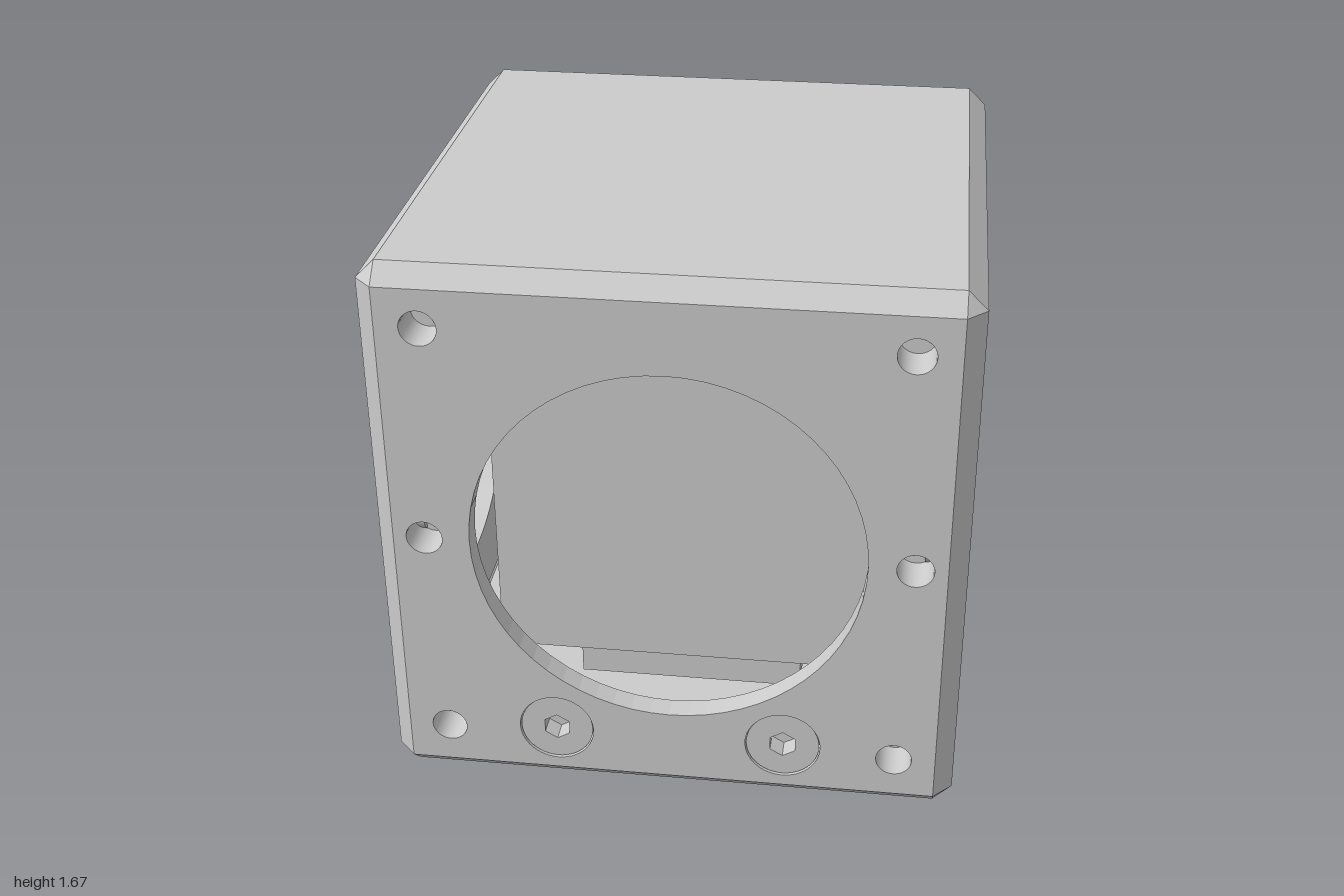
import * as THREE from 'three';
import { mergeGeometries } from 'three/addons/utils/BufferGeometryUtils.js';

const grey = new THREE.MeshStandardMaterial({ color: 0xcccccc, side: THREE.DoubleSide });
const H = 0.835, F = 0.78, C = H - F, WALL = 0.07; // half size, flat half size, chamfer, wall
const CZ = 0.165, AXIS_Y = 0.84;

function add(parent, name, geometry, x = 0, y = 0, z = 0) {
  const m = new THREE.Mesh(geometry, grey);
  m.name = name;
  m.position.set(x, y, z);
  parent.add(m);
  return m;
}

function circle(x, y, r, Type = THREE.Path) {
  return new Type().absarc(x, y, r, 0, Math.PI * 2, true);
}

function square(s) {
  return new THREE.Shape([[-s, -s], [s, -s], [s, s], [-s, s]].map(p => new THREE.Vector2(...p)));
}

function lathe(points, segments = 64) {
  return new THREE.LatheGeometry(points.map(p => new THREE.Vector2(...p)), segments);
}

// Sharp-edged lathe: each profile span gets its own normals
function creasedLathe(points, segments = 72) {
  return mergeGeometries(points.slice(1).map((p, i) => lathe([points[i], p], segments)));
}

// Blind hole, mouth at z = 0 and going into -z
function pocket(r, depth) {
  return creasedLathe([[0, -depth], [r, -depth], [r, 0]], 24).rotateX(Math.PI / 2);
}

// Disc with a hexagonal socket, top face at z = 0
function socketHead(r, hexR, depth) {
  const s = circle(0, 0, r, THREE.Shape);
  const hex = [];
  for (let i = 0; i < 6; i++) {
    const a = i * Math.PI / 3 + Math.PI / 6;
    hex.push(new THREE.Vector2(hexR * Math.cos(a), hexR * Math.sin(a)));
  }
  s.holes.push(new THREE.Path(hex));
  const ring = new THREE.ExtrudeGeometry(s, { depth, bevelEnabled: false, curveSegments: 24 }).translate(0, 0, -depth);
  const floor = new THREE.CircleGeometry(r, 32).translate(0, 0, -depth).toNonIndexed();
  return mergeGeometries([ring, floor]);
}

// One wall facing +z, with port, rod holes and optional clamp screws
function wall(screws) {
  const g = new THREE.Group();
  const s = new THREE.Shape([[-F, C], [F, C], [F, 2 * H - C], [-F, 2 * H - C]].map(p => new THREE.Vector2(...p)));
  s.holes.push(circle(0, AXIS_Y, 0.56));
  for (const side of [-1, 1]) {
    for (const [x, y] of [[0.66, 0.18], [0.69, AXIS_Y], [0.66, 1.5]]) {
      s.holes.push(circle(side * x, y, 0.052));
      add(g, 'rodHole', pocket(0.052, 0.12), side * x, y, H);
    }
    if (screws) {
      s.holes.push(circle(side * 0.335, 0.2, 0.11));
      add(g, 'clampScrew', socketHead(0.107, 0.042, 0.06), side * 0.335, 0.2, H - 0.006);
    }
  }
  const geo = new THREE.ExtrudeGeometry(s, { depth: WALL, bevelEnabled: false, curveSegments: 32 });
  add(g, 'wallPanel', geo, 0, 0, H - WALL);
  // chamfered vertical edge
  const post = new THREE.Shape([[F, -H], [F, -F], [H, -F]].map(p => new THREE.Vector2(...p)));
  add(g, 'edgePost', new THREE.ExtrudeGeometry(post, { depth: 2 * (H - C), bevelEnabled: false })
    .rotateX(-Math.PI / 2), 0, C, 0);
  return g;
}

// Chamfered cap: skirt between two loops plus a flat plate, facing +y
function cap(holeR) {
  const low = [[H, F], [F, H], [-F, H], [-H, F], [-H, -F], [-F, -H], [F, -H], [H, -F]];
  const pos = [];
  for (let i = 0; i < 8; i++) {
    const a = low[i], b = low[(i + 1) % 8];
    const up = p => [Math.sign(p[0]) * F, C, Math.sign(p[1]) * F];
    const dn = p => [p[0], 0, p[1]];
    pos.push(...dn(a), ...up(a), ...dn(b), ...dn(b), ...up(a), ...up(b));
  }
  const skirt = new THREE.BufferGeometry();
  skirt.setAttribute('position', new THREE.Float32BufferAttribute(pos, 3));
  skirt.computeVertexNormals();
  const s = square(F);
  if (holeR) s.holes.push(circle(0, 0, holeR));
  const g = new THREE.Group();
  add(g, 'capChamfer', skirt);
  add(g, 'capPlate', new THREE.ShapeGeometry(s, 24).rotateX(-Math.PI / 2), 0, C, 0);
  if (holeR) add(g, 'mountingHole', pocket(holeR, 0.15).rotateX(-Math.PI / 2), 0, C, 0);
  return g;
}

// Graduation marks around the z axis; from = z of the front end, len goes to -z
function marks(count, radius, from, lengthOf) {
  const list = [];
  for (let i = 0; i < count; i++) {
    const len = lengthOf(i);
    list.push(new THREE.BoxGeometry(0.005, 0.006, len)
      .translate(0, radius, from - len / 2)
      .rotateZ(i * 2 * Math.PI / count));
  }
  return mergeGeometries(list);
}

function rotationMount() {
  const g = new THREE.Group();
  g.name = 'rotationMount';
  // lathe axis y becomes -z, so profile heights are distances behind the origin
  const ring = (name, pts) => add(g, name, creasedLathe(pts, 96).rotateX(-Math.PI / 2), 0, AXIS_Y, 0);
  ring('baseRing', [[0.27, 0.62], [0.565, 0.62], [0.565, 0.67], [0.59, 0.675], [0.59, 0.775], [0.575, 0.79], [0.5, 0.79]]);
  ring('dialRim', [[0.5, 0.79], [0.535, 0.79], [0.535, 0.995], [0.53, 1.0]]);
  add(g, 'dialFace', lathe([[0.53, 1.0], [0.47, 0.998], [0.4, 0.985], [0.33, 0.96], [0.28, 0.92], [0.26, 0.87]], 96)
    .rotateX(-Math.PI / 2), 0, AXIS_Y, 0);
  ring('bore', [[0.26, 0.87], [0.27, 0.87], [0.27, 0.62]]);
  add(g, 'retainingRing', new THREE.TorusGeometry(0.255, 0.022, 10, 64), 0, AXIS_Y, -0.72);
  add(g, 'dialMarks', marks(180, 0.535, -0.79, i => (i % 10 === 0 ? 0.085 : i % 5 === 0 ? 0.055 : 0.03)), 0, AXIS_Y, 0);
  add(g, 'baseMarks', marks(8, 0.589, -0.69, () => 0.085), 0, AXIS_Y, 0);
  add(g, 'indexTab', new THREE.BoxGeometry(0.03, 0.055, 0.055), 0.58, AXIS_Y, -0.76);

  // threaded locking screw on top
  const thread = [[0.036, 1.38]];
  for (let i = 0; i < 6; i++) thread.push([0.048, 1.405 + i * 0.018], [0.037, 1.414 + i * 0.018]);
  thread.push([0.04, 1.515]);
  add(g, 'lockScrew', creasedLathe(thread, 24), 0, 0, -0.73);
  add(g, 'lockScrewSocket', socketHead(0.04, 0.022, 0.03).rotateX(-Math.PI / 2), 0, 1.515, -0.73);
  return g;
}

export function createModel() {
  const model = new THREE.Group();
  model.name = 'opticalCube';

  // Housing
  const housing = new THREE.Group();
  housing.name = 'housing';
  housing.position.z = CZ;
  model.add(housing);
  ['frontWall', 'leftWall', 'backWall', 'rightWall'].forEach((name, k) => {
    const w = wall(k % 2 === 0);
    w.name = name;
    w.rotation.y = k * Math.PI / 2;
    housing.add(w);
  });
  const top = cap(0);
  top.name = 'topCap';
  top.position.y = 2 * H - C;
  const bottom = cap(0.05);
  bottom.name = 'bottomCap';
  bottom.rotation.x = Math.PI;
  bottom.position.y = C;
  housing.add(top, bottom);

  // Glass cube on its pedestal
  add(housing, 'prism', new THREE.BoxGeometry(1.11, 1.12, 1.11), 0, 0.85, 0);
  add(housing, 'pedestal', new THREE.BoxGeometry(0.7, 0.24, 0.7), 0, 0.17, 0);

  model.add(rotationMount());
  return model;
}
